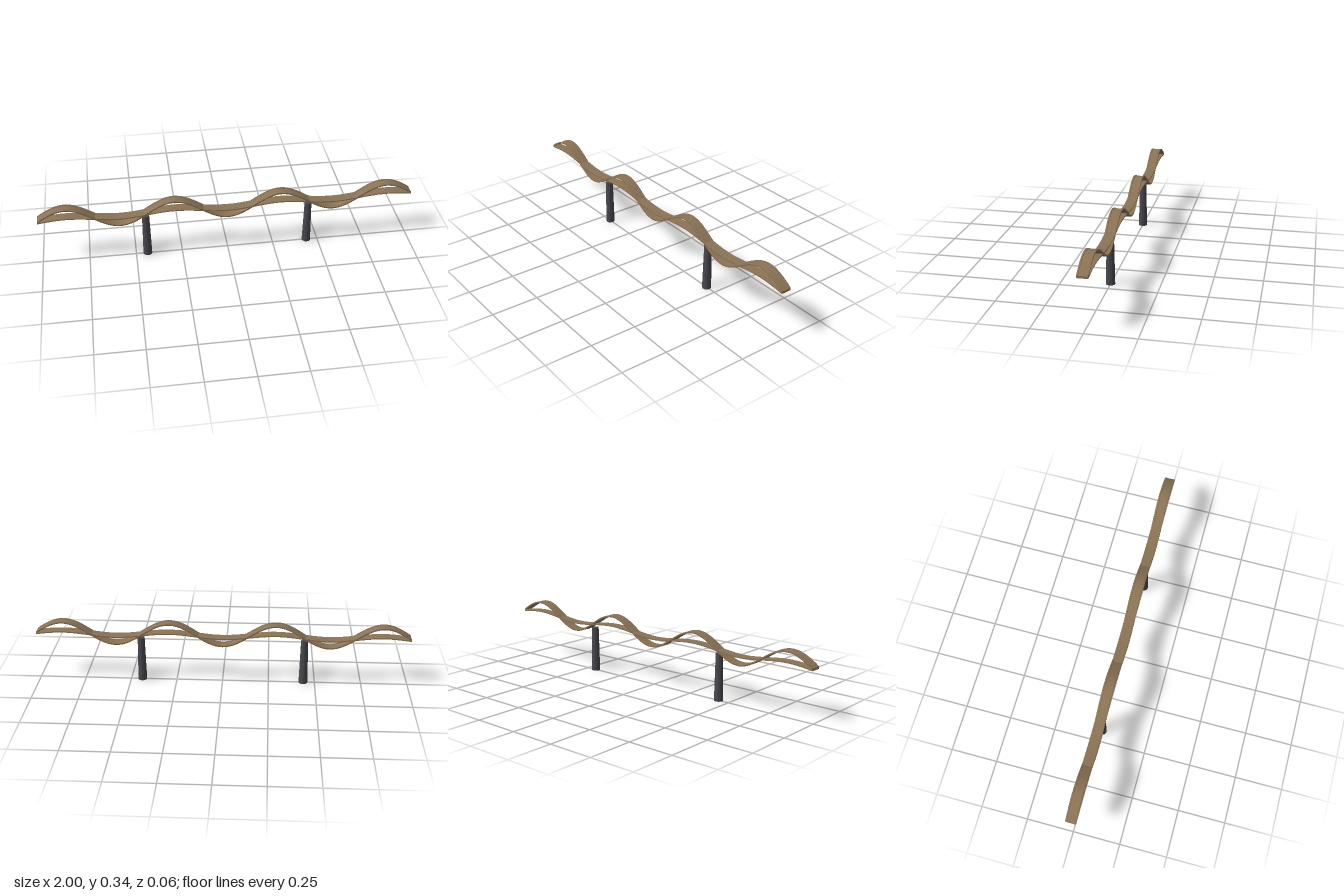
import * as THREE from 'three';
import { toCreasedNormals } from 'three/addons/utils/BufferGeometryUtils.js';

const wood = new THREE.MeshStandardMaterial({ color: 0x8b7355 });
const metal = new THREE.MeshStandardMaterial({ color: 0x47474d });

const MID = 0.273, K = 3.5 * Math.PI, SEGMENTS = 112;

// Side outline of a wavy strip: a sine centre line thickened along its normal
function waveShape(amplitude, mid, thickness) {
  const upper = [], lower = [];
  for (let i = 0; i <= SEGMENTS; i++) {
    const x = -1 + (2 * i) / SEGMENTS;
    const y = mid + amplitude * Math.sin(K * (x + 1));
    const slope = amplitude * K * Math.cos(K * (x + 1));
    const s = thickness / 2 / Math.hypot(1, slope);
    // Keep the ends cut square at x = -1 and x = 1
    const end = i === 0 || i === SEGMENTS;
    const dx = end ? 0 : -slope * s;
    upper.push(new THREE.Vector2(x + dx, y + s));
    lower.push(new THREE.Vector2(x - dx, y - s));
  }
  return new THREE.Shape([...lower, ...upper.reverse()]);
}

// Extrude a wavy strip across z, centred on the given z
function strip(name, amplitude, mid, thickness, width, z = 0, bevel = 0) {
  const geometry = new THREE.ExtrudeGeometry(waveShape(amplitude, mid, thickness), {
    depth: width - 2 * bevel,
    bevelEnabled: bevel > 0,
    bevelSize: bevel,
    bevelOffset: -bevel,
    bevelThickness: bevel,
    bevelSegments: 2,
  });
  geometry.translate(0, 0, z - width / 2 + bevel);
  const mesh = new THREE.Mesh(toCreasedNormals(geometry, 0.5), wood);
  mesh.name = name;
  return mesh;
}

export function createModel() {
  const group = new THREE.Group();
  group.name = 'wavyBench';

  // Deep wave: a thin seat slab with a raised rail on each edge
  const deepWave = new THREE.Group();
  deepWave.name = 'deepWave';
  deepWave.add(strip('deepSlab', 0.06, MID + 0.004, 0.006, 0.046));
  for (const side of [-1, 1]) {
    deepWave.add(strip('edgeRail', 0.06, MID + 0.005, 0.009, 0.009, side * 0.0235, 0.0015));
  }
  group.add(deepWave);

  // Shallow wave weaving through the deep one
  group.add(strip('shallowSlab', 0.0125, MID - 0.002, 0.006, 0.054));

  // Tapered posts
  for (const side of [-1, 1]) {
    const post = new THREE.Mesh(
      toCreasedNormals(new THREE.CylinderGeometry(0.019, 0.024, 0.25, 12), 0.4), metal);
    post.position.set(side * 0.438, 0.125, 0);
    post.name = side > 0 ? 'leftPost' : 'rightPost';
    group.add(post);
  }
  return group;
}
